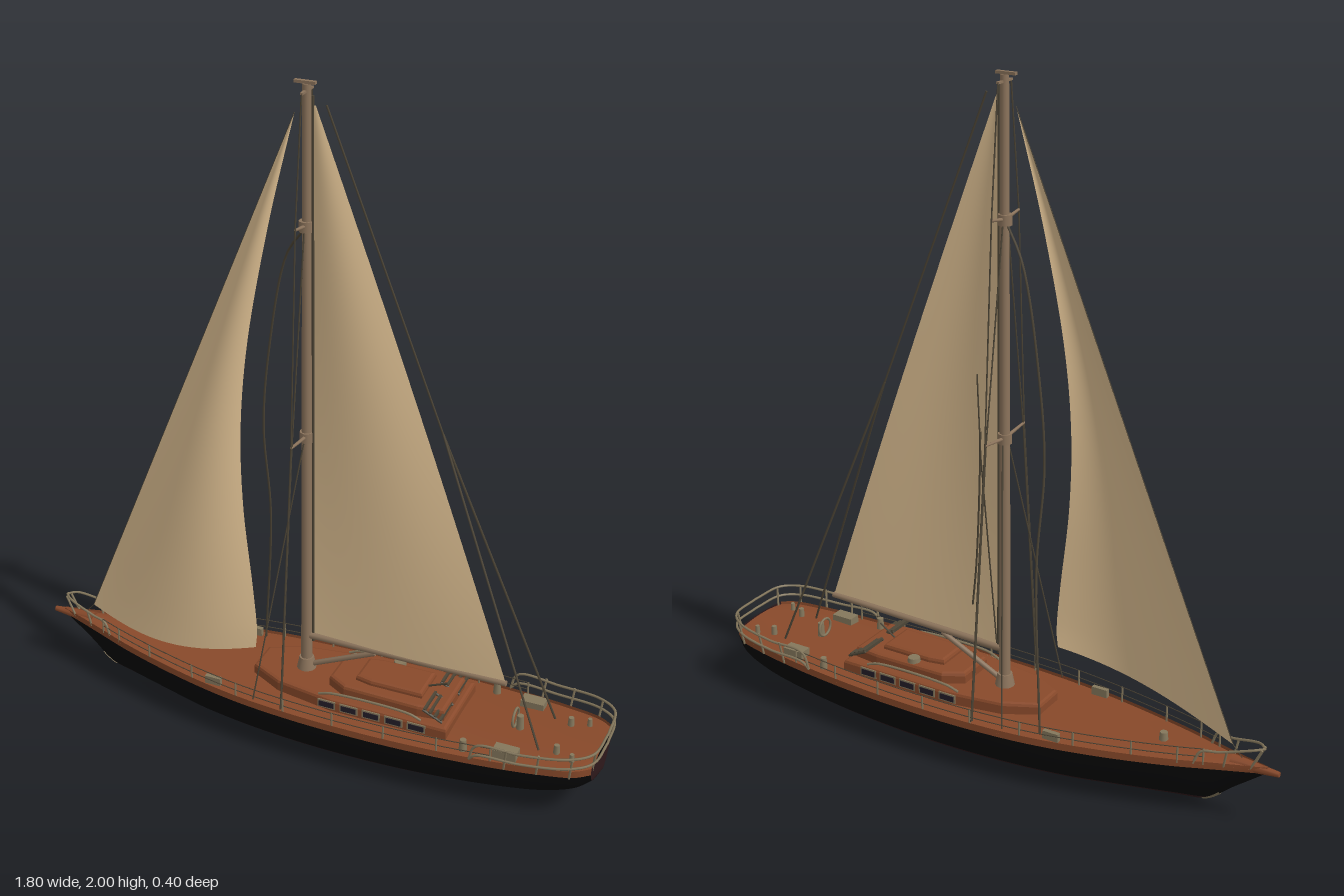
import * as THREE from 'three';
import { ParametricGeometry } from 'three/addons/geometries/ParametricGeometry.js';

const V = (x, y, z) => new THREE.Vector3(x, y, z);
const both = THREE.DoubleSide;

export function createModel() {
  const root = new THREE.Group();
  const mat = (name, color, side = THREE.FrontSide) => {
    const m = new THREE.MeshStandardMaterial({ color, side });
    m.name = name;
    return m;
  };
  const sail = mat('sailcloth', 0xe3c496, both);
  const wood = mat('teak', 0x88492a, both);
  const spar = mat('spar wood', 0x8c745c);
  const black = mat('black topsides', 0x060607, both);
  const maroon = mat('maroon bottom', 0x2e191b, both);
  const rig = mat('rigging', 0x4d4536);
  const steel = mat('rail metal', 0x84775c, both);
  const glass = mat('dark glass', 0x231d28);

  const add = (name, geo, m, parent = root) => {
    const mesh = new THREE.Mesh(geo, m);
    mesh.name = name;
    parent.add(mesh);
    return mesh;
  };
  const group = (name) => {
    const g = new THREE.Group();
    g.name = name;
    root.add(g);
    return g;
  };
  const surface = (name, fn, nu, nv, m, parent) => {
    const g = new ParametricGeometry((u, v, t) => t.set(...fn(u, v)), nu, nv);
    g.computeVertexNormals();
    return add(name, g, m, parent);
  };
  // Straight rod between two points
  const rod = (name, a, b, r, m, parent, r2 = r, sides = 6) => {
    const g = new THREE.CylinderGeometry(r2, r, a.distanceTo(b), sides);
    const mesh = add(name, g, m, parent);
    mesh.position.copy(a).lerp(b, 0.5);
    mesh.quaternion.setFromUnitVectors(V(0, 1, 0), b.clone().sub(a).normalize());
    return mesh;
  };
  const tube = (name, pts, r, m, parent, n = 40) =>
    add(name, new THREE.TubeGeometry(new THREE.CatmullRomCurve3(pts), n, r, 5), m, parent);
  const box = (name, w, h, d, x, y, z, m, parent) => {
    const mesh = add(name, new THREE.BoxGeometry(w, h, d), m, parent);
    mesh.position.set(x, y, z);
    return mesh;
  };

  // Hull stations: x, keel height, half beam
  const stations = new THREE.CatmullRomCurve3([
    [-0.865, 0.174, 0.004], [-0.77, 0.1, 0.032], [-0.69, 0.038, 0.058], [-0.6, 0.027, 0.088],
    [-0.4, 0.017, 0.14], [-0.2, 0.008, 0.177], [0, 0.001, 0.194], [0.2, 0.001, 0.198],
    [0.4, 0.01, 0.193], [0.6, 0.028, 0.178], [0.75, 0.05, 0.158], [0.84, 0.082, 0.137],
    [0.882, 0.112, 0.108]].map((p) => V(...p)));
  const sheer = (x) => 0.157 + 0.025 * ((x - 0.1) / 0.96) ** 2;
  const halfWidth = (p, y) => {
    const t = THREE.MathUtils.clamp((y - p.y) / (sheer(p.x) - p.y), 0, 1);
    const e = THREE.MathUtils.clamp(1.2 + (p.x + 0.86) * 2.6, 1.2, 2.6);
    return p.z * Math.pow(1 - Math.pow(1 - t, e), 1 / e);
  };
  const water = (p) => Math.max(p.y, 0.05 + 0.03 * Math.max(0, p.x) ** 2);
  const topEdge = (p) => Math.max(p.y, sheer(p.x) - 0.012);
  const rim = (p) => sheer(p.x) + 0.01;
  const bands = [
    ['hullBottom', (p) => p.y, water, maroon, 12],
    ['hullTopsides', water, topEdge, black, 10],
    ['sheerStrake', topEdge, rim, wood, 2]];
  const hull = group('hull');
  for (const s of [-1, 1]) {
    for (const [name, lo, hi, m, n] of bands) {
      surface(name, (u, v) => {
        const p = stations.getPoint(u);
        const a = lo(p), y = a + (hi(p) - a) * v * (name === 'hullBottom' ? v : 1);
        return [p.x, y, s * halfWidth(p, y)];
      }, 72, n, m, hull);
    }
    // Metal shoe at the foot of the stem
    surface('stemShoe', (u, v) => {
      const p = stations.getPoint(0.125 + 0.05 * u), y = p.y + 0.014 * v * v;
      return [p.x - 0.001, y - 0.002, s * (halfWidth(p, y) + 0.001)];
    }, 8, 5, steel, hull);
  }
  const end = stations.getPoint(1);
  surface('transom', (u, v) => {
    const y = end.y + (rim(end) - end.y) * v;
    return [end.x + 0.008 * Math.sin(Math.PI * u), y, (2 * u - 1) * halfWidth(end, y)];
  }, 12, 10, maroon, hull);
  surface('deck', (u, v) => {
    const p = stations.getPoint(u), w = 2 * v - 1;
    return [p.x, sheer(p.x) + 0.012 * (1 - w * w), w * p.z];
  }, 60, 10, wood, hull);

  // Bowsprit
  rod('bowsprit', V(-0.76, 0.178, 0), V(-0.9, 0.18, 0), 0.022, wood, root, 0.008, 8);

  // Cabin, built as stacked bevelled slabs
  const cabin = group('cabin');
  const slab = (name, pts, y, h, m) => {
    const outline = [...pts, ...pts.slice().reverse().map(([x, z]) => [x, -z])];
    const shape = new THREE.Shape(outline.map(([x, z]) => new THREE.Vector2(x, z)));
    const g = new THREE.ExtrudeGeometry(shape, {
      depth: h, bevelSize: 0.01, bevelThickness: 0.01, bevelOffset: -0.01, bevelSegments: 2 });
    g.rotateX(-Math.PI / 2);
    add(name, g, m, cabin).position.y = y;
  };
  slab('cabinTrunk', [[-0.18, -0.05], [-0.08, -0.1], [0.1, -0.128], [0.46, -0.128]], 0.15, 0.043, wood);
  slab('cabinRoof', [[0.07, -0.06], [0.13, -0.095], [0.36, -0.1], [0.44, -0.09]], 0.195, 0.032, wood);
  slab('roofHatch', [[0.15, -0.05], [0.2, -0.06], [0.36, -0.06]], 0.23, 0.014, wood);
  for (const s of [-1, 1]) {
    for (let i = 0; i < 5; i++) {
      box('windowFrame', 0.056, 0.026, 0.004, 0.09 + i * 0.07, 0.184, s * 0.128, steel, cabin);
      box('cabinWindow', 0.046, 0.017, 0.004, 0.09 + i * 0.07, 0.184, s * 0.13, glass, cabin);
    }
    tube('handrail', [V(0.06, 0.205, s * 0.115), V(0.1, 0.218, s * 0.118), V(0.34, 0.218, s * 0.118),
      V(0.38, 0.205, s * 0.118)], 0.004, steel, cabin);
    // Slatted seats behind the cabin roof
    for (let i = 0; i < 4; i++)
      box('seatSlat', 0.007, 0.01, 0.095, 0.39 + i * 0.016, 0.246 - i * 0.008, s * 0.074, rig, cabin);
    for (const z of [0.028, 0.12])
      rod('seatSide', V(0.385, 0.246, s * z), V(0.445, 0.218, s * z), 0.004, rig, cabin);
  }

  // Deck fittings
  const fittings = group('deckFittings');
  const drum = (x, z, r, h) =>
    add('winch', new THREE.CylinderGeometry(r * 0.8, r, h, 10), steel, fittings)
      .position.set(x, sheer(x) + h / 2 + 0.006, z);
  for (const s of [-1, 1]) {
    box('sternLocker', 0.07, 0.025, 0.04, 0.64, 0.18, s * 0.128, steel, fittings);
    drum(0.52, s * 0.15, 0.012, 0.035);
    drum(0.77, s * 0.07, 0.01, 0.03);
    box('deckBlock', 0.05, 0.025, 0.014, -0.27, 0.178, s * 0.145, steel, fittings);
    drum(0.82, s * 0.09, 0.008, 0.025);
  }
  drum(-0.55, 0, 0.014, 0.03);
  drum(0.64, 0, 0.012, 0.05);
  const wheel = add('steeringWheel', new THREE.TorusGeometry(0.028, 0.004, 6, 20), steel, fittings);
  wheel.position.set(0.625, 0.21, 0);
  wheel.rotation.y = Math.PI / 2;
  add('deckVent', new THREE.CylinderGeometry(0.018, 0.02, 0.014, 12), steel, fittings).position.set(0.24, 0.243, -0.075);

  // Guard rails around the deck
  const rails = group('guardRails');
  const edge = (u, h, s, out = 0.97) => {
    const p = stations.getPoint(u);
    return V(p.x, sheer(p.x) + h, s * p.z * out);
  };
  for (const s of [-1, 1]) {
    for (let i = 0; i <= 9; i++) {
      const u = 0.16 + i * 0.066;
      rod('stanchion', edge(u, 0, s), edge(u, 0.05, s), 0.003, steel, rails);
    }
    for (const h of [0.026, 0.05])
      tube('lifeline', Array.from({ length: 10 }, (_, i) => edge(0.16 + i * 0.066, h, s)), 0.0015, rig, rails);
    tube('bowRail', [V(-0.855, 0.246, 0), V(-0.83, 0.245, s * 0.022), V(-0.74, 0.222, s * 0.043),
      V(-0.69, 0.215, s * 0.056), V(-0.67, 0.175, s * 0.062)], 0.004, steel, rails);
    rod('bowRailPost', V(-0.82, 0.18, s * 0.014), V(-0.85, 0.245, s * 0.012), 0.0035, steel, rails);
    rod('bowRailPost', V(-0.75, 0.175, s * 0.036), V(-0.76, 0.228, s * 0.04), 0.0035, steel, rails);
    for (const h of [0.2, 0.232])
      tube('sternRail', [V(0.55, 0.17, s * 0.185), V(0.57, h - 0.01, s * 0.188), V(0.7, h - 0.008, s * 0.18),
        V(0.83, h, s * 0.155), V(0.885, h + 0.003, s * 0.11), V(0.897, h + 0.003, 0)], 0.004, steel, rails);
    for (const [x, z] of [[0.65, 0.177], [0.74, 0.163], [0.83, 0.145], [0.88, 0.09]])
      rod('sternRailPost', V(x, 0.16, s * z), V(x + 0.008, 0.232, s * (z + 0.01)), 0.0035, steel, rails);
  }

  // Mast, boom and crosstrees
  const spars = group('spars');
  rod('mast', V(-0.03, 0.15, 0), V(-0.025, 1.99, 0), 0.017, spar, spars, 0.012, 12);
  rod('mastTrack', V(-0.008, 0.3, 0), V(-0.008, 1.96, 0), 0.004, rig, spars);
  box('mastHead', 0.06, 0.008, 0.012, -0.03, 1.994, 0, spar, spars);
  box('mastHeadBar', 0.008, 0.006, 0.07, -0.025, 1.972, 0, spar, spars);
  add('mastCollar', new THREE.CylinderGeometry(0.022, 0.032, 0.05, 12), spar, spars).position.set(-0.03, 0.215, 0);
  rod('boom', V(-0.02, 0.318, 0), V(0.595, 0.326, 0.012), 0.011, spar, spars, 0.009, 10);
  rod('boomStrut', V(-0.02, 0.215, 0), V(0.19, 0.312, 0.004), 0.008, spar, spars);
  rod('mainSheet', V(0.42, 0.275, 0.01), V(0.35, 0.24, 0), 0.003, rig, spars);
  for (const [y, z] of [[0.98, 0.105], [1.605, 0.07]]) {
    add('mastBand', new THREE.CylinderGeometry(0.02, 0.02, 0.03, 10), spar, spars).position.set(-0.028, y, 0);
    for (const s of [-1, 1])
      rod('crosstree', V(-0.028, y, 0), V(-0.028, y + 0.012, s * z), 0.006, spar, spars, 0.004);
  }

  // Standing rigging
  const stays = group('rigging');
  const stay = (name, pts, r = 0.0023) => {
    for (let i = 1; i < pts.length; i++) rod(name, V(...pts[i - 1]), V(...pts[i]), r, rig, stays, r, 5);
  };
  for (const s of [-1, 1]) {
    stay('upperShroud', [[-0.03, 0.17, s * 0.188], [-0.028, 0.99, s * 0.105], [-0.028, 1.617, s * 0.07], [-0.025, 1.972, s * 0.033]]);
    stay('middleShroud', [[-0.03, 0.17, s * 0.182], [-0.028, 0.985, s * 0.1], [-0.028, 1.6, s * 0.012]]);
    stay('forwardShroud', [[-0.125, 0.17, s * 0.175], [-0.028, 0.98, s * 0.012]]);
    stay('lowerBackstay', [[0.375, 1.07, 0], [0.72, 0.18, s * 0.08]], 0.0035);
  }
  stay('upperBackstay', [[0.03, 1.94, 0], [0.375, 1.07, 0]], 0.003);
  stay('forestay', [[-0.06, 1.91, 0], [-0.76, 0.23, 0], [-0.8, 0.185, 0]], 0.0012);
  tube('innerLine', [V(-0.03, 1.6, 0), V(-0.1, 1.5, -0.03), V(-0.165, 1.2, -0.05), V(-0.19, 0.95, -0.06),
    V(-0.185, 0.65, -0.09), V(-0.23, 0.17, -0.14)], 0.0035, rig, stays);
  tube('looseHalyard', [V(-0.01, 1.03, -0.1), V(0.0, 0.85, -0.09), V(0.03, 0.6, -0.06), V(0.055, 0.46, -0.04)], 0.003, rig, stays);
  stay('signalLine', [[-0.01, 1.2, -0.115], [-0.015, 0.95, -0.105], [-0.02, 0.35, -0.03]]);

  // Sails: each row runs from the luff to the leech
  const sails = group('sails');
  const leech = new THREE.CatmullRomCurve3([
    V(-0.145, 0.307, 0), V(-0.14, 0.36, 0), V(-0.152, 0.5, 0), V(-0.185, 0.77, 0),
    V(-0.195, 1.0, 0), V(-0.18, 1.25, 0), V(-0.125, 1.6, 0), V(-0.06, 1.91, 0)]);
  surface('foreSail', (u, v) => {
    const a = V(-0.76, 0.23, 0).lerp(V(-0.06, 1.91, 0), v);
    const p = a.lerp(leech.getPointAt(v), u);
    const z = 0.135 * (1 - Math.pow(v, 1.5)) * Math.sin(Math.PI * 0.7 * u);
    return [p.x, p.y - 0.018 * Math.sin(Math.PI * u) * (1 - v) ** 3, z];
  }, 24, 40, sail, sails);
  surface('mainSail', (u, v) => {
    const x = -0.006 + u * (0.006 + 0.596 * (1 - v) + 0.008 * Math.sin(Math.PI * v));
    const belly = 0.022 * Math.sin(Math.PI * u) * Math.sin(Math.PI * Math.min(1, v * 0.9 + 0.1));
    return [x, 0.32 + 1.615 * v, belly + 0.012 * u * (1 - v)];
  }, 20, 40, sail, sails);

  return root;
}
